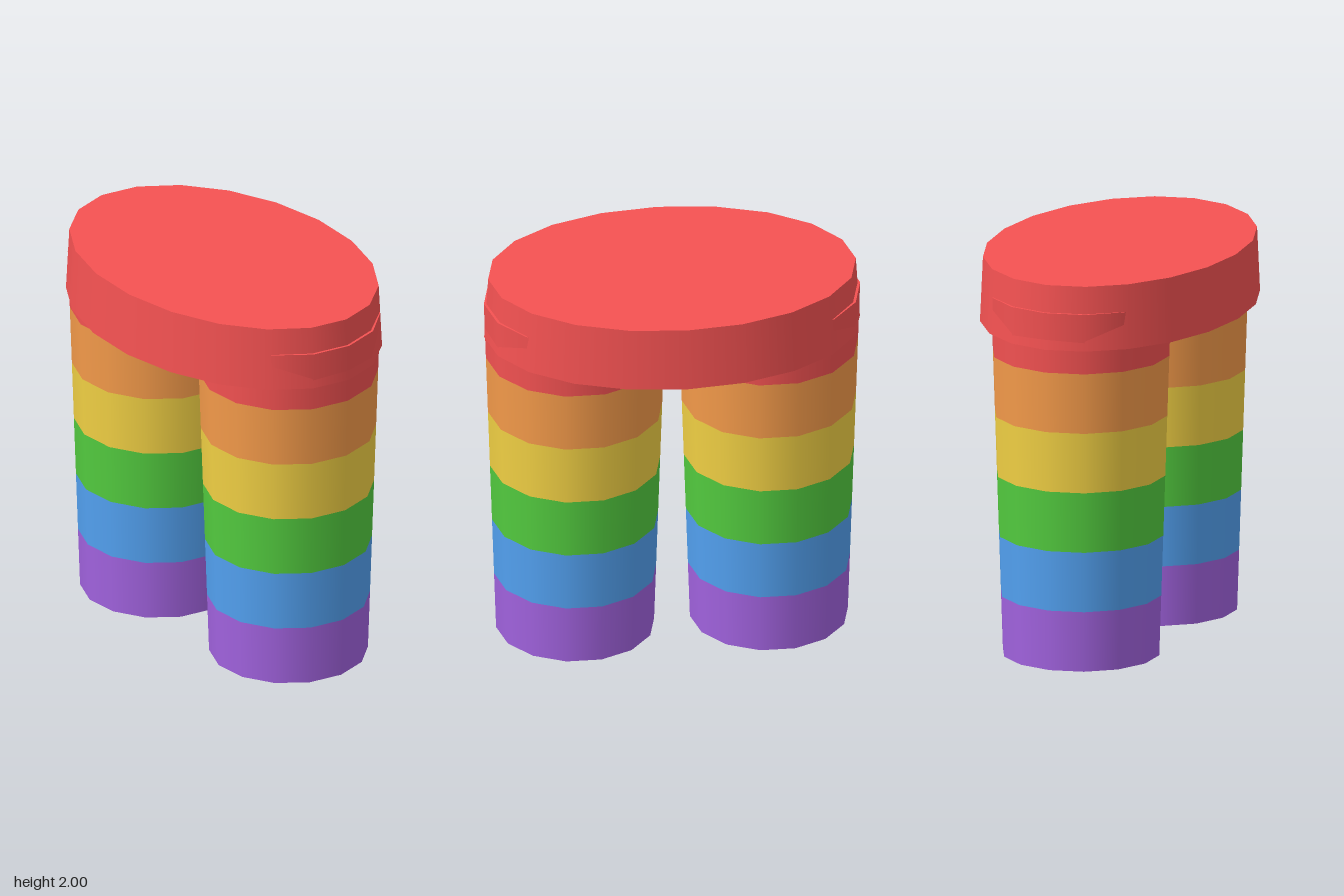
import * as THREE from 'three';

const BANDS = [
  ['purple', 0xa263e0], ['blue', 0x53a2f2], ['green', 0x53cc3f],
  ['yellow', 0xf2d144], ['orange', 0xf59b4a], ['red', 0xf55252],
];
const BAND_H = 0.31, LEG_X = 0.4875, R_BOTTOM = 0.3975, R_TOP = 0.459;

const paint = BANDS.map(([, color]) => new THREE.MeshStandardMaterial({ color }));

// Leg radius after i bands
const radiusAt = (i) => THREE.MathUtils.lerp(R_BOTTOM, R_TOP, i / BANDS.length);

// Flat end disc closing a leg
function endDisc(name, radius, y, up, material) {
  const geo = new THREE.CircleGeometry(radius, 14);
  geo.rotateX(up ? -Math.PI / 2 : Math.PI / 2);
  const disc = new THREE.Mesh(geo, material);
  disc.position.y = y;
  disc.name = name;
  return disc;
}

// Tapered 14-sided leg made of stacked colour bands
function makeLeg(name, x) {
  const leg = new THREE.Group();
  leg.name = name;
  BANDS.forEach(([label], i) => {
    const geo = new THREE.CylinderGeometry(
      radiusAt(i + 1), radiusAt(i), BAND_H, 14, 1, true, Math.PI / 2);
    const band = new THREE.Mesh(geo, paint[i]);
    band.position.y = BAND_H * (i + 0.5);
    band.name = `${label}Band`;
    leg.add(band);
  });
  leg.add(endDisc('sole', R_BOTTOM, 0, false, paint[0]));
  leg.add(endDisc('legTop', R_TOP, BAND_H * BANDS.length, true, paint[5]));
  leg.position.x = x;
  return leg;
}

export function createModel() {
  const model = new THREE.Group();
  model.name = 'rainbowTrousers';
  model.add(makeLeg('leftLeg', LEG_X), makeLeg('rightLeg', -LEG_X));

  // Oval waist slab joining both legs
  const waistGeo = new THREE.CylinderGeometry(0.925, 0.945, 0.33, 20);
  waistGeo.scale(1, 1, 0.682);
  const waist = new THREE.Mesh(waistGeo, paint[5]);
  waist.position.y = 1.835;
  waist.name = 'waist';
  model.add(waist);
  return model;
}
